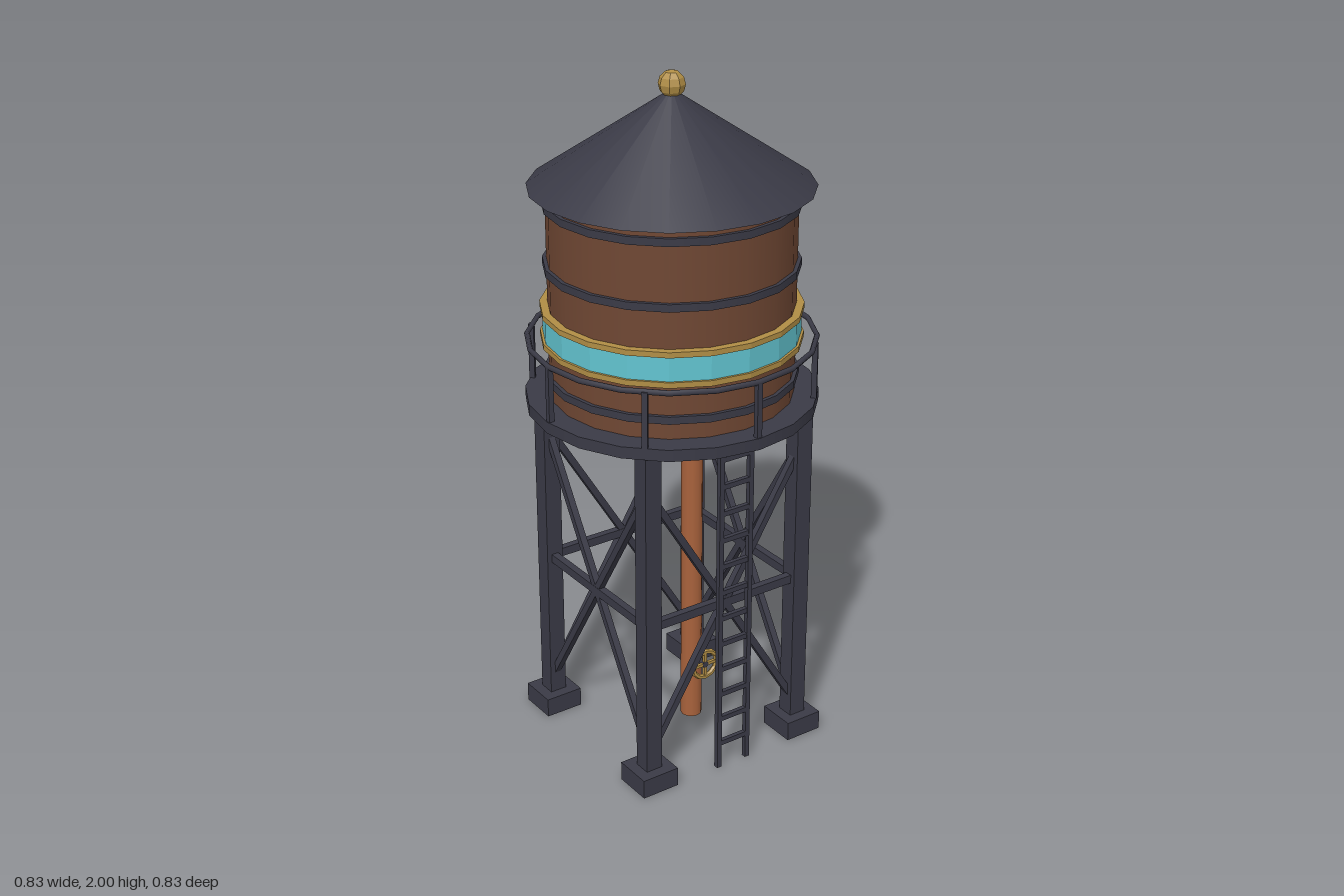
import * as THREE from 'three';

const mat = (name, color, flat = false) => {
  const m = new THREE.MeshStandardMaterial({ color });
  m.name = name;
  m.flatShading = flat;
  return m;
};

export function createModel() {
  const iron = mat('dark iron', 0x3a3a46);
  const wood = mat('brown wood', 0x6f4733);
  const teal = mat('teal paint', 0x62c4d0, true);
  const brass = mat('brass', 0xb08d45, true);
  const copper = mat('copper', 0xa8623c);

  const model = new THREE.Group();
  model.name = 'waterTower';
  const SIDES = 20;

  const add = (name, geo, material, x = 0, y = 0, z = 0, parent = model) => {
    const mesh = new THREE.Mesh(geo, material);
    mesh.name = name;
    mesh.position.set(x, y, z);
    parent.add(mesh);
    return mesh;
  };
  const box = (name, w, h, d, x, y, z, parent = model) =>
    add(name, new THREE.BoxGeometry(w, h, d), iron, x, y, z, parent);
  const drum = (name, r, y0, y1, material) =>
    add(name, new THREE.CylinderGeometry(r, r, y1 - y0, SIDES), material, 0, (y0 + y1) / 2, 0);

  // Tank with its hoops and painted band
  drum('tank', 0.345, 1.08, 1.69, wood);
  for (const y of [1.145, 1.465, 1.645]) drum('hoop', 0.356, y - 0.011, y + 0.011, iron);
  drum('paintedBand', 0.36, 1.25, 1.335, teal);
  for (const y of [1.252, 1.338]) drum('brassTrim', 0.367, y - 0.008, y + 0.008, brass);

  // Roof and finial
  add('roof', new THREE.ConeGeometry(0.395, 0.265, SIDES), iron, 0, 1.8175, 0);
  add('finial', new THREE.SphereGeometry(0.038, 8, 6), brass, 0, 1.962, 0);

  // Walkway with railing
  drum('deck', 0.413, 1.052, 1.086, iron);
  const railing = new THREE.Group();
  railing.name = 'railing';
  model.add(railing);
  const rail = add('handRail', new THREE.TorusGeometry(0.404, 0.008, 6, SIDES), iron, 0, 1.247, 0, railing);
  rail.rotation.x = Math.PI / 2;
  for (let i = 0; i < 8; i++) {
    const a = (i * Math.PI) / 4;
    const post = box('railPost', 0.016, 0.165, 0.016, 0.402 * Math.sin(a), 1.166, 0.402 * Math.cos(a), railing);
    post.rotation.y = a;
  }

  // Legs on square feet
  const L = 0.258;
  for (const x of [-L, L]) {
    for (const z of [-L, L]) {
      box('leg', 0.052, 1.01, 0.052, x, 0.55, z);
      box('foot', 0.117, 0.058, 0.117, x, 0.029, z);
    }
  }

  // Cross bracing on all four sides
  const top = 0.91, bottom = 0.12, half = 0.245;
  const length = Math.hypot(2 * half, top - bottom);
  for (let i = 0; i < 4; i++) {
    const side = new THREE.Group();
    side.name = 'bracing';
    side.rotation.y = (i * Math.PI) / 2;
    model.add(side);
    box('crossbar', 2 * L, 0.026, 0.022, 0, 0.515, L, side);
    for (const s of [-1, 1]) {
      const brace = box('diagonal', 0.02, length, 0.02, 0, (top + bottom) / 2, L, side);
      brace.rotation.z = s * Math.atan2(2 * half, top - bottom);
    }
  }

  // Ladder
  const ladder = new THREE.Group();
  ladder.name = 'ladder';
  model.add(ladder);
  for (const x of [-0.05, 0.05]) box('ladderRail', 0.015, 1.06, 0.015, x, 0.53, 0.306, ladder);
  for (let i = 0; i < 12; i++) box('rung', 0.1, 0.015, 0.013, 0, 0.08 + i * 0.083, 0.306, ladder);

  // Down pipe with valve wheel
  add('pipe', new THREE.CylinderGeometry(0.031, 0.031, 0.995, 12), copper, 0, 0.5605, 0.1);
  const valve = new THREE.Group();
  valve.name = 'valve';
  valve.position.set(0, 0.26, 0.168);
  model.add(valve);
  const stem = add('valveStem', new THREE.CylinderGeometry(0.01, 0.01, 0.06, 8), iron, 0, 0, -0.025, valve);
  stem.rotation.x = Math.PI / 2;
  add('valveWheel', new THREE.TorusGeometry(0.042, 0.008, 6, 12), brass, 0, 0, 0, valve);
  for (const a of [0, Math.PI / 2]) {
    const spoke = add('spoke', new THREE.BoxGeometry(0.08, 0.009, 0.009), brass, 0, 0, 0, valve);
    spoke.rotation.z = a;
  }

  return model;
}
